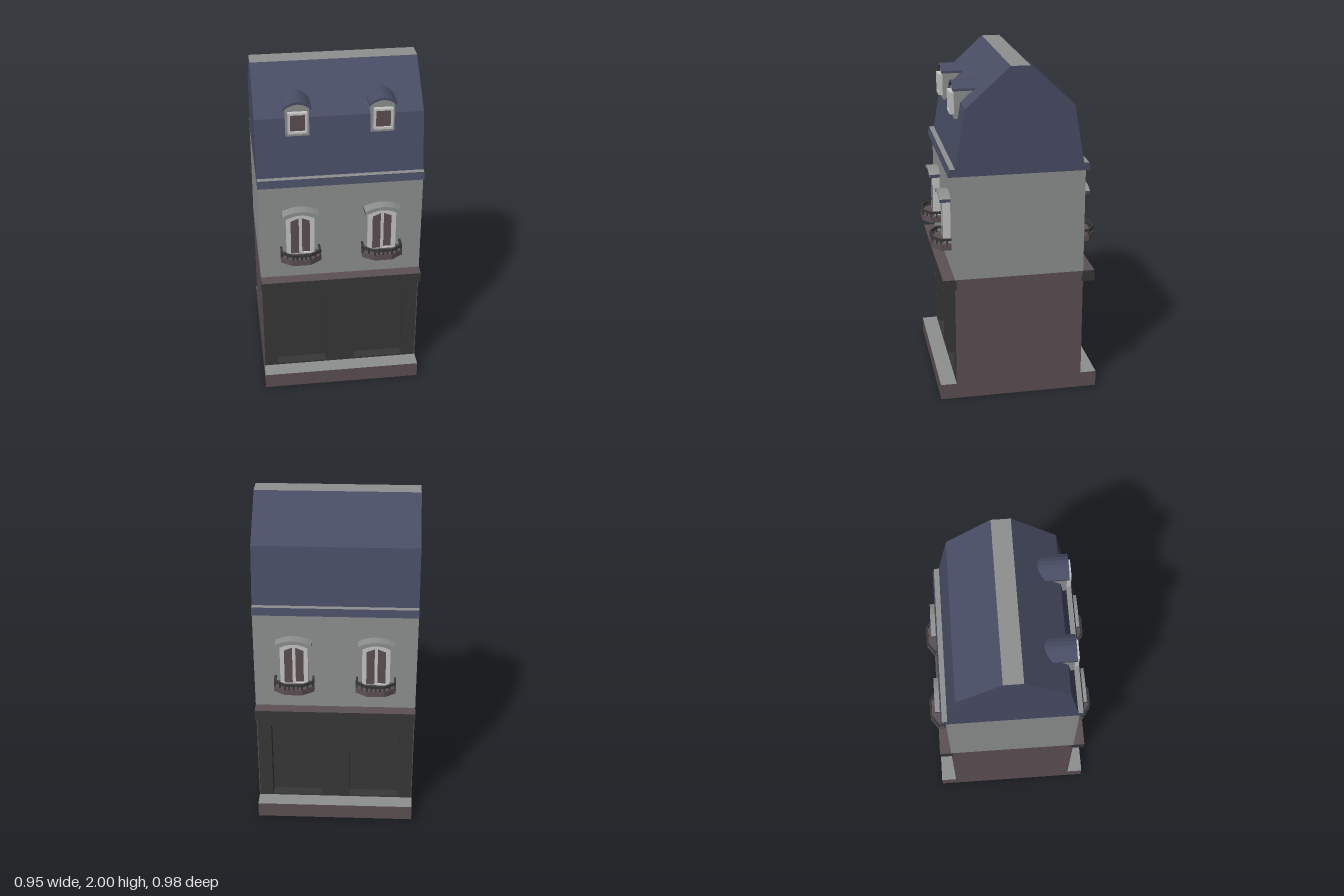
import * as THREE from 'three';

const mat = (name, color) => {
  const m = new THREE.MeshStandardMaterial({ color });
  m.name = name;
  return m;
};

export function createModel() {
  const stone = mat('stone grey', 0x8e9090);
  const brown = mat('plum brown', 0x5c5053);
  const slate = mat('slate blue', 0x484d64);
  const dark = mat('charcoal', 0x373737);
  const white = mat('window white', 0xc6c6c6);

  const W = 0.475, D = 0.38, BAY = 0.238;
  const model = new THREE.Group();
  model.name = 'townhouse';

  const add = (parent, name, geo, material) => {
    const mesh = new THREE.Mesh(geo, material);
    mesh.name = name;
    parent.add(mesh);
    return mesh;
  };

  // Box given by its limits
  const box = (x0, x1, y0, y1, z0, z1) =>
    new THREE.BoxGeometry(x1 - x0, y1 - y0, z1 - z0)
      .translate((x0 + x1) / 2, (y0 + y1) / 2, (z0 + z1) / 2);

  // Shape from points, extruded between z0 and z1
  const toShape = pts => new THREE.Shape(pts.map(p => new THREE.Vector2(p[0], p[1])));
  const extrude = (shape, z0, z1) =>
    new THREE.ExtrudeGeometry(shape, { depth: z1 - z0, bevelEnabled: false }).translate(0, 0, z0);

  // Mesh whose faces get a material index chosen from the face normal
  const addPainted = (parent, name, geo, materials, pick) => {
    const g = geo.index ? geo.toNonIndexed() : geo;
    g.clearGroups();
    const n = new THREE.Vector3();
    for (let i = 0; i < g.attributes.position.count; i += 3) {
      g.addGroup(i, 3, pick(n.fromBufferAttribute(g.attributes.normal, i)));
    }
    return add(parent, name, g, materials);
  };

  // Arched line from -w to w, and shapes made from it
  const arch = (w, y, rise, n = 6) => Array.from({ length: n + 1 }, (_, i) => {
    const t = -1 + 2 * i / n;
    return [t * w, y + rise * (1 - t * t)];
  });
  const archPanel = (w, bottom, top, rise) =>
    [[w, bottom], [-w, bottom], ...arch(w, top, rise)];
  const archBand = (w, y, rise, thick) =>
    [...arch(w, y + thick, rise), ...arch(w, y, rise).reverse()];

  // Profile in z and y, run along the width of the house
  const along = half => {
    const pts = [...half, ...half.map(([z, y]) => [-z, y]).reverse()];
    return extrude(toShape(pts), -W, W).rotateY(Math.PI / 2);
  };

  // Plinth, floors and roof
  addPainted(model, 'plinth', box(-W, W, 0, 0.095, -W, W), [brown, stone, dark],
    n => (n.y > 0.5 ? 1 : n.y < -0.5 ? 2 : 0));
  add(model, 'shopCore', box(-0.47, 0.47, 0.095, 0.765, -0.32, 0.32), dark);
  for (const s of [-1, 1]) {
    const x = s * (W - 0.0025);
    add(model, 'shopSideWall', box(x - 0.0025, x + 0.0025, 0.095, 0.765, -D, D), brown);
  }
  add(model, 'upperFloor', box(-W, W, 0.765, 1.385, -D, D), stone);
  const ridgeTop = n => (n.y > 0.95 ? 1 : 0);
  addPainted(model, 'eavesCornice', along([[0.41, 1.385], [0.4, 1.43]]), [slate, stone], ridgeTop);
  addPainted(model, 'mansardRoof', along([[0.37, 1.43], [0.31, 1.77], [0.055, 2]]), [slate, stone], ridgeTop);

  // Balcony with a faceted front
  const plan = inset => [
    [-0.117 + inset, 0.37], [-0.117 + inset, 0.443 - inset * 0.5], [-0.052 + inset * 0.4, 0.488 - inset],
    [0.052 - inset * 0.4, 0.488 - inset], [0.117 - inset, 0.443 - inset * 0.5], [0.117 - inset, 0.37],
  ];
  const slab = (shape, y0, y1) => extrude(shape, 0, y1 - y0).rotateX(Math.PI / 2).translate(0, y1, 0);

  const makeBalcony = () => {
    const g = new THREE.Group();
    g.name = 'balcony';
    add(g, 'balconyBase', slab(toShape(plan(0)), 0.905, 0.94), brown);
    const ring = toShape([...plan(0), ...plan(0.012).reverse()]);
    add(g, 'balconyRail', slab(ring, 0.961, 0.975), dark);
    const path = plan(0.006);
    for (let i = 0; i < path.length - 1; i++) {
      const [ax, az] = path[i], [bx, bz] = path[i + 1];
      const steps = i === 2 ? 4 : 2;
      for (let k = 0; k < steps; k++) {
        const t = (k + (i === 0 ? 1 : 0)) / steps;
        const x = ax + (bx - ax) * t, z = az + (bz - az) * t;
        add(g, 'baluster', box(x - 0.005, x + 0.005, 0.938, 0.963, z - 0.005, z + 0.005), dark);
      }
    }
    return g;
  };

  // Tall window with surround, two leaves and arched hood
  const makeWindow = () => {
    const g = new THREE.Group();
    g.name = 'window';
    const surround = toShape(archPanel(0.081, 0.935, 1.185, 0.03));
    for (const s of [-1, 1]) {
      const leaf = [[s * 0.009, 0.945], [s * 0.056, 0.945], [s * 0.056, 1.162], [s * 0.009, 1.182]];
      surround.holes.push(new THREE.Path(leaf.map(p => new THREE.Vector2(...p))));
    }
    add(g, 'windowSurround', extrude(surround, 0.37, 0.415), white);
    add(g, 'windowPane', box(-0.06, 0.06, 0.94, 1.185, 0.385, 0.4), brown);
    const hoodPick = n => (n.y > 0.5 || Math.abs(n.z) > 0.5 ? 1 : 0);
    addPainted(g, 'hoodMoulding', extrude(toShape(archBand(0.084, 1.187, 0.024, 0.016)), 0.37, 0.432),
      [slate, stone], hoodPick);
    addPainted(g, 'windowHood', extrude(toShape(archBand(0.105, 1.196, 0.026, 0.018)), 0.37, 0.445),
      [slate, stone], hoodPick);
    return g;
  };

  // Street facade, used on both the front and the back
  const makeFacade = name => {
    const g = new THREE.Group();
    g.name = name;
    const wall = toShape([[-0.47, 0.095], [0.47, 0.095], [0.47, 0.765], [-0.47, 0.765]]);
    for (const s of [-1, 1]) {
      const x = s * BAY;
      wall.holes.push(new THREE.Path([[-0.15, 0.105], [-0.15, 0.61], [0.15, 0.61], [0.15, 0.105]]
        .map(p => new THREE.Vector2(x + p[0], p[1]))));
      const bay = new THREE.Group();
      bay.name = 'windowBay';
      bay.position.x = x;
      bay.add(makeWindow(), makeBalcony());
      g.add(bay);
    }
    add(g, 'shopFront', extrude(wall, 0.32, D), dark);
    addPainted(g, 'shopLedge', box(-W, W, 0.7, 0.765, D - 0.01, 0.45), [dark, brown], ridgeTop);
    return g;
  };
  const back = makeFacade('backFacade');
  back.rotation.y = Math.PI;
  model.add(makeFacade('frontFacade'), back);

  // Dormers on the front slope
  for (const s of [-1, 1]) {
    const g = new THREE.Group();
    g.name = 'dormer';
    g.position.x = s * BAY;
    add(g, 'dormerBody', extrude(toShape(archPanel(0.066, 1.675, 1.835, 0.035)), 0.2, 0.345), stone);
    add(g, 'dormerRoof', extrude(toShape(archBand(0.078, 1.836, 0.035, 0.014)), 0.15, 0.355), slate);
    const frame = toShape([[-0.054, 1.7], [0.054, 1.7], [0.054, 1.825], [-0.054, 1.825]]);
    frame.holes.push(new THREE.Path([[-0.042, 1.712], [-0.042, 1.813], [0.042, 1.813], [0.042, 1.712]]
      .map(p => new THREE.Vector2(...p))));
    add(g, 'dormerFrame', extrude(frame, 0.34, 0.37), white);
    add(g, 'dormerPane', box(-0.045, 0.045, 1.708, 1.817, 0.35, 0.358), brown);
    model.add(g);
  }

  return model;
}
